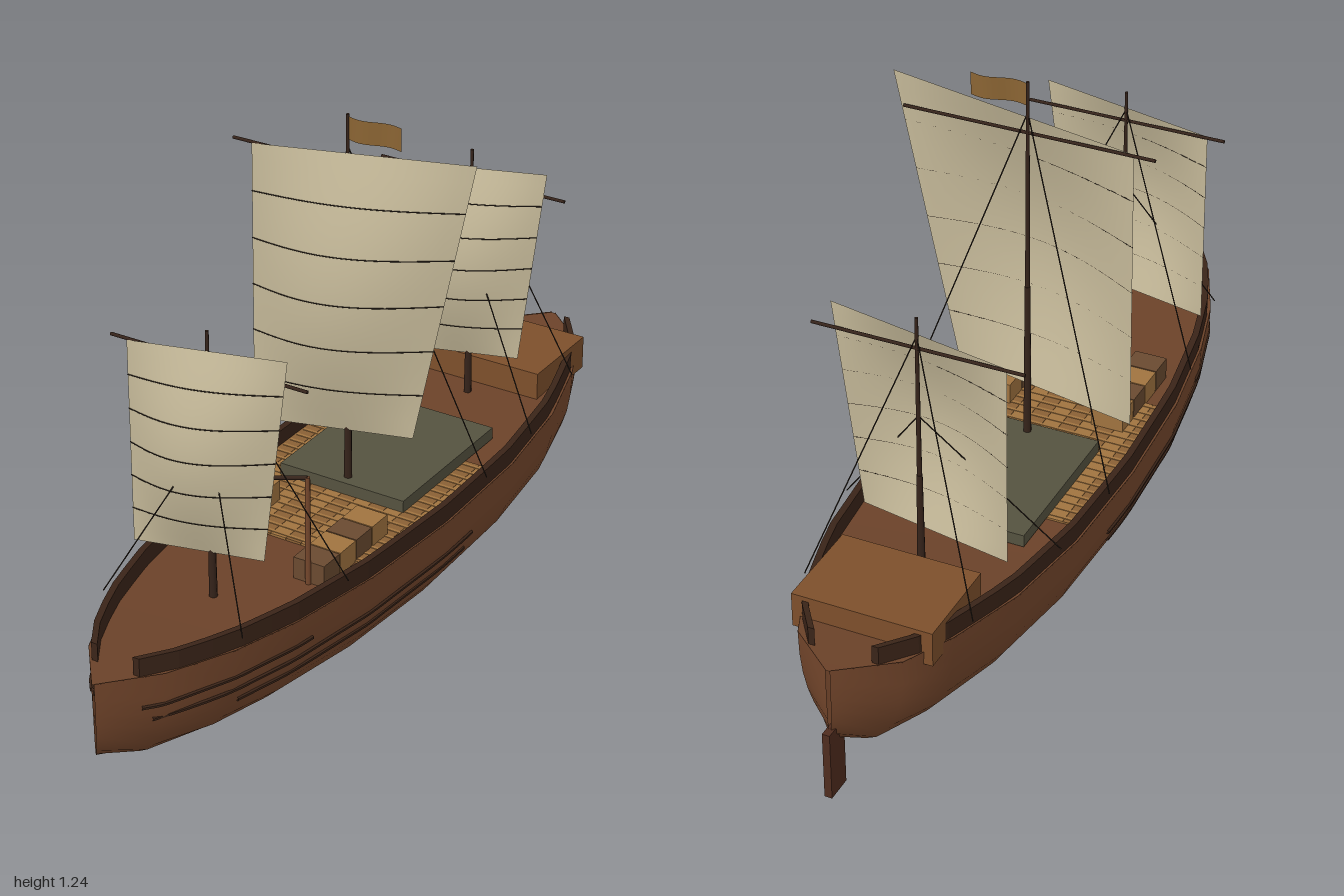
import * as THREE from 'three';

const mat = (color, extra = {}) => new THREE.MeshStandardMaterial({ color, side: THREE.DoubleSide, ...extra });
const M = {
  hull: mat(0x75472c), deck: mat(0x6b4229), dark: mat(0x3a2418, { flatShading: true }), mast: mat(0x35231a),
  plank: mat(0xa0733f), plankDark: mat(0x8a6035), hatch: mat(0x55523f), cabin: mat(0x7d4f2b), crate: mat(0x6a4a30),
  sail: mat(0xc4b898), rope: mat(0x2a211a), flag: mat(0x8a6433), rudder: mat(0x4f2c1e),
};
const V = (x, y, z) => new THREE.Vector3(x, y, z);

// Hull stations: z, half breadth, keel height
const stations = [
  [1, 0.003, 0.135], [0.88, 0.1, 0.08], [0.72, 0.17, 0.052], [0.55, 0.215, 0.035], [0.3, 0.253, 0.018],
  [0, 0.27, 0.01], [-0.3, 0.265, 0.018], [-0.55, 0.235, 0.033], [-0.75, 0.18, 0.052], [-0.88, 0.125, 0.08], [-0.98, 0.005, 0.15],
];
const sheer = z => 0.288 + (z > 0 ? 0.025 : 0.043) * z * z;
function at(z) {
  let i = 0;
  while (i < stations.length - 2 && stations[i + 1][0] > z) i++;
  const a = stations[i], b = stations[i + 1], t = (a[0] - z) / (a[0] - b[0]);
  return { w: a[1] + (b[1] - a[1]) * t, keel: a[2] + (b[2] - a[2]) * t };
}
// Half breadth of the hull at a given height
function breadth(z, y) {
  const { w, keel } = at(z), d = Math.min(1, Math.max(0, (sheer(z) - y) / (sheer(z) - keel)));
  return w * Math.pow(1 - Math.pow(d, 2.4), 1 / 2.4);
}

// Skin a list of equal-length cross-sections
function loft(rings, closed = false) {
  const n = rings[0].length, pos = rings.flat().flatMap(p => [p.x, p.y, p.z]), idx = [];
  for (let i = 0; i < rings.length - 1; i++)
    for (let j = 0; j < (closed ? n : n - 1); j++) {
      const a = i * n + j, b = i * n + (j + 1) % n;
      idx.push(a, b, a + n, b, b + n, a + n);
    }
  const g = new THREE.BufferGeometry();
  g.setAttribute('position', new THREE.Float32BufferAttribute(pos, 3));
  g.setIndex(idx);
  g.computeVertexNormals();
  return g;
}

export function createModel() {
  const root = new THREE.Group();
  const ship = new THREE.Group();
  ship.name = 'ship';
  ship.position.x = -0.015;
  root.add(ship);

  const add = (name, geo, material, parent = ship) => {
    const m = new THREE.Mesh(geo, material);
    m.name = name;
    parent.add(m);
    return m;
  };
  const box = (name, w, h, d, x, y, z, material) =>
    add(name, new THREE.BoxGeometry(w, h, d), material).position.set(x, y, z);
  const rod = (name, a, b, r0, r1, material, parent) => {
    const dir = b.clone().sub(a);
    const m = add(name, new THREE.CylinderGeometry(r1, r0, dir.length(), 8), material, parent);
    m.position.copy(a).add(b).multiplyScalar(0.5);
    m.quaternion.setFromUnitVectors(V(0, 1, 0), dir.normalize());
  };

  // Hull shell and deck
  const SEG = 16;
  add('hull', loft(stations.map(([z, w, keel]) => {
    const ring = [];
    for (let j = 0; j <= SEG; j++) {
      const a = Math.PI * j / SEG, c = Math.cos(a), s = Math.sin(a);
      ring.push(V(-w * Math.sign(c) * Math.pow(Math.abs(c), 2 / 2.4),
        sheer(z) - (sheer(z) - keel) * Math.pow(Math.abs(s), 2 / 2.4), z));
    }
    return ring;
  })), M.hull);
  add('deck', loft(stations.map(([z, w]) => [V(w, sheer(z) - 0.002, z), V(-w, sheer(z) - 0.002, z)])), M.deck);

  // Bulwarks and wales, mirrored
  for (const s of [-1, 1]) {
    const rings = [];
    for (let i = 0; i <= 24; i++) {
      const z = 0.92 - i * 1.83 / 24, o = at(z).w - 0.006, y = sheer(z);
      rings.push([V(s * o, y - 0.01, z), V(s * o, y + 0.042, z), V(s * (o - 0.016), y + 0.042, z), V(s * (o - 0.016), y - 0.01, z)]);
    }
    add('bulwark', loft(rings, true), M.dark);
    for (const i of [0, 24]) add('bulwarkEnd', loft([[rings[i][0], rings[i][1]], [rings[i][3], rings[i][2]]]), M.dark);
    [[0.16, 0.7, -0.1], [0.195, 0.9, -0.12], [0.23, 0.92, 0.5]].forEach(([y, z0, z1]) => {
      const pts = [];
      for (let i = 0; i <= 12; i++) {
        const z = z0 + (z1 - z0) * i / 12;
        pts.push(V(s * breadth(z, y), y, z));
      }
      add('wale', new THREE.TubeGeometry(new THREE.CatmullRomCurve3(pts), 24, 0.005, 6), M.dark);
    });
  }

  // Rudder
  box('rudder', 0.018, 0.17, 0.065, 0, 0.085, -0.967, M.rudder);

  // Planked midship deck with cross battens
  for (let i = 0; i < 12; i++)
    box('deckPlank', 0.04, 0.008, 0.52, -0.2255 + i * 0.041, 0.29, 0.01, i % 2 ? M.plank : M.plankDark);
  for (let i = 0; i < 18; i++)
    box('deckBatten', 0.48, 0.003, 0.008, 0, 0.294, -0.235 + i * 0.029, M.plank);

  // Hatch cover, stern cabin and crates
  box('hatchCover', 0.335, 0.03, 0.41, 0, 0.31, -0.17, M.hatch);
  box('sternCabin', 0.335, 0.085, 0.235, 0, 0.328, -0.71, M.cabin);
  for (const s of [-1, 1])
    for (let i = 0; i < 4; i++)
      box('crate', 0.08, 0.055, 0.064, s * 0.145, 0.317, 0.165 + i * 0.067, i % 2 ? M.crate : M.plank);

  // Cargo crane
  const tip = V(-0.055, 0.53, 0.465);
  rod('cranePost', V(0.145, 0.285, 0.4), V(0.145, 0.56, 0.4), 0.007, 0.006, M.hull);
  rod('craneArm', V(0.145, 0.558, 0.4), tip, 0.005, 0.004, M.mast);
  rod('craneRope', tip, V(tip.x, 0.37, tip.z), 0.0015, 0.0015, M.rope);

  // Masts, yards, sails and rigging. Sail corners: top left, top right, bottom left, bottom right
  const small = { top: 0.945, yard: 0.87, half: 0.25, fore: 0.7, aft: 0.9, belly: 0.055,
    corners: [[-0.205, 0.87], [0.205, 0.93], [-0.205, 0.375], [0.14, 0.43]] };
  const large = { top: 1.235, yard: 1.11, half: 0.303, fore: 0, aft: 1.16, belly: 0.065,
    corners: [[-0.25, 1.11], [0.33, 1.19], [-0.255, 0.41], [0.177, 0.48]] };
  const rig = (name, z, r) => {
    const g = new THREE.Group();
    g.name = name;
    g.position.z = z;
    ship.add(g);
    rod('lowerMast', V(0, 0.27, 0), V(0, r.top * 0.58, 0), 0.01, 0.007, M.mast, g);
    rod('upperMast', V(0, r.top * 0.58, 0), V(0, r.top, 0), 0.006, 0.004, M.mast, g);
    rod('yard', V(-r.half, r.yard, 0), V(r.half, r.yard, 0), 0.004, 0.004, M.mast, g);

    const [tl, tr, bl, br] = r.corners, mix = THREE.MathUtils.lerp;
    const point = (u, v, lift = 0) => V(
      mix(mix(tl[0], tr[0], u), mix(bl[0], br[0], u), v),
      mix(mix(tl[1], tr[1], u), mix(bl[1], br[1], u), v),
      0.006 + lift + r.belly * Math.sin(Math.PI * u) * Math.sin(Math.PI * v));
    const rows = [];
    for (let i = 0; i <= 16; i++) rows.push(Array.from({ length: 17 }, (_, j) => point(j / 16, i / 16)));
    add('sail', loft(rows.reverse()), M.sail, g);
    for (let k = 1; k <= 5; k++) {
      const pts = Array.from({ length: 9 }, (_, j) => point(j / 8, k / 6, 0.001));
      add('sailSeam', new THREE.TubeGeometry(new THREE.CatmullRomCurve3(pts), 20, 0.0013, 5), M.rope, g);
    }
    for (const s of [-1, 1])
      for (const [y, dz] of [[r.fore, 0.155], [r.aft, -0.16]])
        if (y) rod('shroud', V(0, y, 0), V(s * (at(z + dz).w + 0.01), 0.33, dz), 0.0015, 0.0015, M.rope, g);
    return g;
  };
  rig('foreMast', 0.558, small);
  rig('mizzenMast', -0.545, small);
  const main = rig('mainMast', 0.005, large);

  // Waving flag on the main mast
  const flag = new THREE.PlaneGeometry(0.137, 0.055, 12, 1).translate(0.0685, 1.203, 0);
  const p = flag.attributes.position;
  for (let i = 0; i < p.count; i++) p.setZ(i, 0.008 * Math.sin(p.getX(i) * 45));
  flag.computeVertexNormals();
  add('flag', flag, M.flag, main);

  return root;
}
